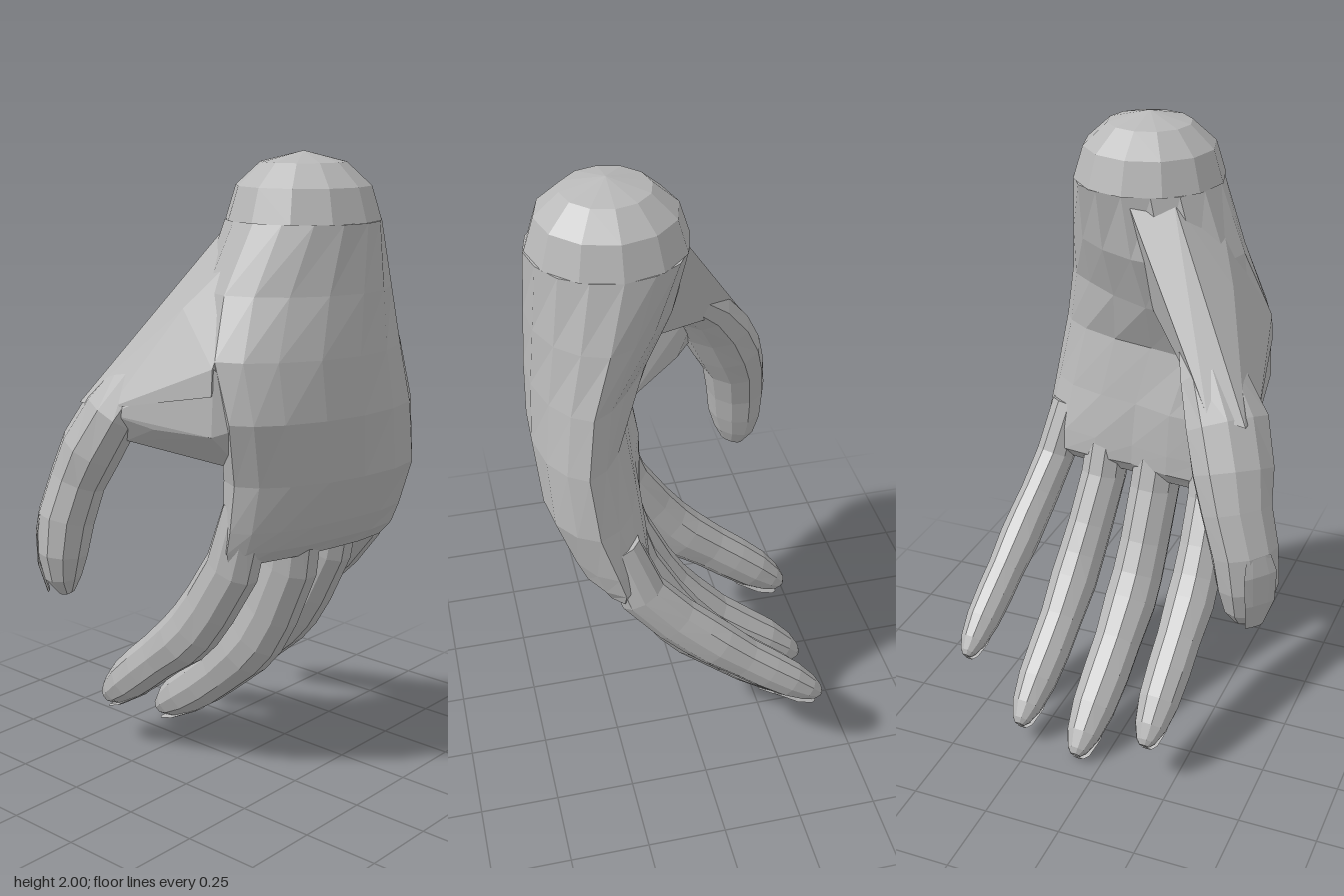
import * as THREE from 'three';
import { ConvexGeometry } from 'three/addons/geometries/ConvexGeometry.js';

const V = (x, y, z) => new THREE.Vector3(x, y, z);

// Skin a list of equal-length rings, close both ends, and face outwards
function loft(rings) {
  const n = rings[0].length, tris = [];
  for (let i = 0; i < rings.length - 1; i++) {
    for (let j = 0; j < n; j++) {
      const k = (j + 1) % n, [p, q] = [rings[i], rings[i + 1]];
      tris.push([p[j], p[k], q[k]], [p[j], q[k], q[j]]);
    }
  }
  [rings[0], rings[rings.length - 1]].forEach((ring, end) => {
    const c = ring.reduce((s, p) => s.add(p), V(0, 0, 0)).divideScalar(n);
    for (let j = 0; j < n; j++) {
      const k = (j + 1) % n;
      tris.push(end ? [ring[j], ring[k], c] : [ring[k], ring[j], c]);
    }
  });
  const volume = tris.reduce((s, [a, b, c]) => s + a.dot(b.clone().cross(c)), 0);
  if (volume < 0) tris.forEach(t => t.reverse());
  const g = new THREE.BufferGeometry().setFromPoints(tris.flat());
  g.computeVertexNormals();
  return g;
}

// Limb along stations [x, y, z, half thickness, half width]; side is the width direction
function limb(stations, side, sides = 10) {
  const pts = stations.map(s => V(s[0], s[1], s[2]));
  return loft(stations.map((s, i) => {
    const t = pts[Math.min(i + 1, pts.length - 1)].clone().sub(pts[Math.max(i - 1, 0)]).normalize();
    const w = side.clone().addScaledVector(t, -side.dot(t)).normalize();
    const d = t.clone().cross(w);
    return Array.from({ length: sides }, (_, j) => {
      const a = (j + 0.5) / sides * Math.PI * 2;
      return pts[i].clone().addScaledVector(d, Math.cos(a) * s[3]).addScaledVector(w, Math.sin(a) * s[4]);
    });
  }));
}

function hull(points) {
  const g = new ConvexGeometry(points.map(p => V(...p)));
  g.computeVertexNormals();
  return g;
}

export function createModel() {
  const group = new THREE.Group();
  const skin = new THREE.MeshStandardMaterial({ color: 0xb8b8b8 });
  skin.name = 'greySkin';
  const add = (name, geometry) => {
    const m = new THREE.Mesh(geometry, skin);
    m.name = name;
    group.add(m);
    return m;
  };

  // Palm: y, z range, outer x (back, mid, front), inner x (back, mid, front)
  const sections = [
    [1.80, -0.305, 0.16, 0.37, 0.44, 0.37, 0.03, -0.03, 0.03],
    [1.60, -0.35, 0.25, 0.395, 0.447, 0.34, 0.11, -0.01, 0.0],
    [1.42, -0.385, 0.325, 0.42, 0.455, 0.35, 0.20, 0.06, 0.05],
    [1.24, -0.42, 0.32, 0.44, 0.46, 0.37, 0.23, 0.16, 0.13],
    [1.04, -0.455, 0.26, 0.43, 0.433, 0.345, 0.20, 0.14, 0.09],
    [0.89, -0.47, 0.255, 0.375, 0.37, 0.30, 0.16, 0.13, 0.09],
    [0.82, -0.47, 0.25, 0.345, 0.33, 0.265, 0.15, 0.13, 0.09],
    [0.775, -0.45, 0.235, 0.31, 0.29, 0.225, 0.19, 0.16, 0.12],
  ];
  add('palm', loft(sections.map(([y, zb, zf, ob, om, of, ib, im, inf]) => {
    const z = t => zb + (zf - zb) * t;
    const outline = new THREE.CatmullRomCurve3([
      V((ob + ib) / 2, y, zb), V(ob, y, z(0.15)), V(om, y, z(0.5)), V(of, y, z(0.85)),
      V((of + inf) / 2, y, zf), V(inf, y, z(0.85)), V(im, y, z(0.5)), V(ib, y, z(0.15)),
    ], true);
    return outline.getPoints(16).slice(0, 16);
  })));

  // Rounded wrist stump
  const cap = new THREE.LatheGeometry([[0.236, 1.8], [0.205, 1.9], [0.13, 1.968], [0, 2]]
    .map(p => new THREE.Vector2(...p)), 12).toNonIndexed();
  cap.computeVertexNormals();
  add('wristCap', cap).position.set(0.2, 0, -0.07);

  // Ball of the thumb, running from the wrist to the thumb joint
  add('thumbBall', hull([
    [-0.02, 1.77, -0.05], [0.03, 1.79, 0.07], [0.2, 1.76, 0.15], [-0.06, 1.64, 0.03],
    [-0.19, 1.46, 0.17], [0.02, 1.55, 0.265], [0.2, 1.4, 0.335], [0.2, 1.32, 0.34], [0.0, 1.3, 0.365],
    [-0.15, 1.25, 0.41], [-0.28, 1.25, 0.41], [-0.3, 1.28, 0.3], [-0.12, 1.36, 0.23], [0.05, 1.42, 0.0],
  ]));
  // Thinner web of skin below it
  add('thumbWeb', hull([
    [0.2, 1.2, 0.34], [0.0, 1.2, 0.375], [-0.15, 1.23, 0.41], [-0.14, 1.14, 0.35], [-0.08, 1.15, 0.26],
    [0.1, 1.08, 0.16], [0.22, 1.08, 0.22], [0.32, 1.25, 0.24], [0.2, 1.4, 0.33], [0.0, 1.4, 0.33],
    [-0.2, 1.36, 0.33], [0.12, 1.38, 0.22],
  ]));

  // Thumb
  const thumbSide = V(0.74, 0, 0.67);
  add('thumb', limb([
    [0.0, 1.5, 0.15, 0.05, 0.06], [-0.16, 1.33, 0.27, 0.08, 0.105], [-0.215, 1.22, 0.335, 0.092, 0.135],
    [-0.272, 1.1, 0.375, 0.098, 0.13], [-0.31, 1.0, 0.40, 0.09, 0.112], [-0.33, 0.88, 0.435, 0.092, 0.105],
    [-0.335, 0.77, 0.45, 0.082, 0.098], [-0.335, 0.69, 0.45, 0.06, 0.075], [-0.325, 0.638, 0.445, 0.025, 0.04],
  ], thumbSide));

  // Fingers: centre line x, y, z from knuckle to tip, half width
  const fingers = {
    indexFinger: [[[0.19, 0.95, 0.165], [0.165, 0.82, 0.17], [0.08, 0.665, 0.175], [-0.04, 0.5, 0.178], [-0.21, 0.355, 0.175], [-0.45, 0.155, 0.165]], 0.08],
    middleFinger: [[[0.23, 0.95, -0.03], [0.215, 0.82, -0.04], [0.145, 0.64, -0.047], [0.045, 0.45, -0.053], [-0.14, 0.26, -0.063], [-0.44, 0.035, -0.08]], 0.086],
    ringFinger: [[[0.24, 0.95, -0.22], [0.22, 0.82, -0.225], [0.14, 0.65, -0.24], [0.03, 0.475, -0.258], [-0.14, 0.3, -0.27], [-0.42, 0.085, -0.29]], 0.078],
    littleFinger: [[[0.25, 0.95, -0.38], [0.215, 0.82, -0.405], [0.13, 0.705, -0.425], [0.02, 0.6, -0.445], [-0.12, 0.48, -0.465], [-0.38, 0.28, -0.495]], 0.066],
  };
  // Along the finger: position, width scale, thickness scale
  const swell = [[0, 0.95, 1], [0.2, 0.98, 1.15], [0.36, 0.97, 1.17], [0.46, 1, 1.18], [0.54, 1.03, 1.15],
    [0.66, 0.93, 1.02], [0.76, 0.92, 1], [0.86, 0.85, 0.92], [0.94, 0.66, 0.68], [0.985, 0.4, 0.4], [1, 0.2, 0.2]];
  for (const [name, [line, r]] of Object.entries(fingers)) {
    const curve = new THREE.CatmullRomCurve3(line.map(p => V(...p)));
    add(name, limb(swell.map(([t, w, d]) => [...curve.getPointAt(t).toArray(), r * d, r * w]), V(0, 0, 1)));
    // Nail on the outer face, just passing the fingertip
    const nail = [0.84, 0.93, 0.985, 1].map((t, i) => {
      const p = curve.getPointAt(t), d = curve.getTangentAt(t);
      p.addScaledVector(V(-d.y, d.x, 0), r * [0.88, 0.7, 0.48, 0.42][i]);
      return [...p.toArray(), 0.004, r * [0.4, 0.5, 0.38, 0.2][i]];
    });
    add(name + 'Nail', limb(nail, V(0, 0, 1), 6));
  }
  add('thumbNail', limb([
    [-0.385, 0.9, 0.495, 0.004, 0.04], [-0.39, 0.84, 0.505, 0.004, 0.055],
    [-0.386, 0.74, 0.505, 0.004, 0.05], [-0.368, 0.645, 0.485, 0.004, 0.03],
  ], thumbSide, 6));

  return group;
}
